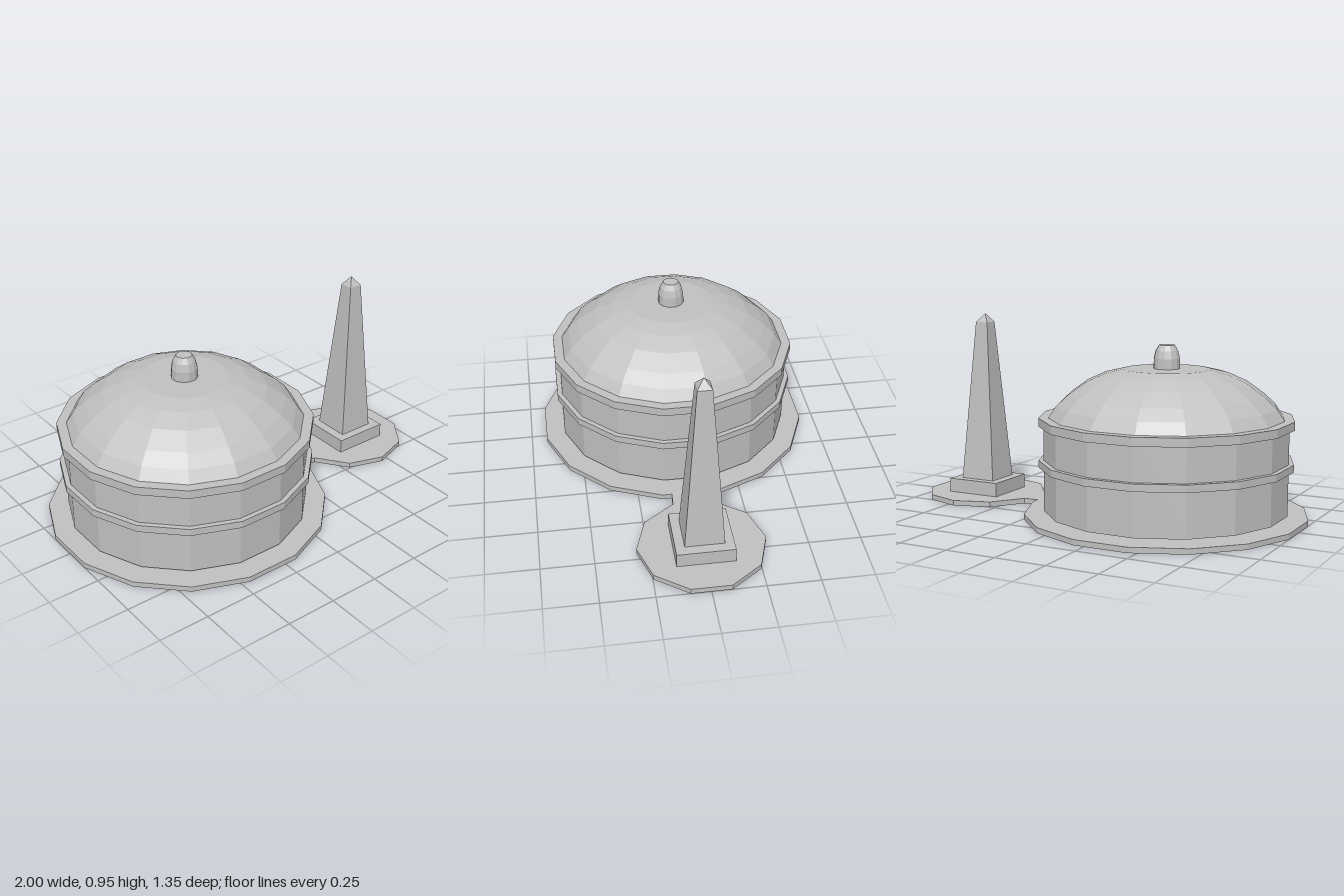
import * as THREE from 'three';

const SIDES = 16;
const HALL_X = -0.327;
const TOWER_X = 0.708;

export function createModel() {
  const model = new THREE.Group();
  const stone = new THREE.MeshStandardMaterial({ color: 0xc0c0c0 });
  stone.flatShading = true;

  function add(parent, name, geometry, y = 0) {
    const mesh = new THREE.Mesh(geometry, stone);
    mesh.name = name;
    mesh.position.y = y;
    parent.add(mesh);
    return mesh;
  }

  // Surface of revolution from [radius, y] pairs, with flats facing the axes
  function turned(points, sides) {
    const profile = points.map(([r, y]) => new THREE.Vector2(r, y));
    return new THREE.LatheGeometry(profile, sides, Math.PI / sides);
  }

  // Solid prism between two heights
  const prism = (r, y0, y1) => turned([[0, y0], [r, y0], [r, y1], [0, y1]], SIDES);

  // Ground slab: large polygon and small polygon joined by a walkway
  const slab = new THREE.Shape();
  const outline = [];
  const neck = 0.09;
  outline.push([0.345, neck]);
  for (let i = 0; i < SIDES; i++) {
    const a = (i + 0.5) * 2 * Math.PI / SIDES;
    const p = [HALL_X + 0.686 * Math.cos(a), 0.686 * Math.sin(a)];
    outline.push(p);
  }
  outline.push([0.345, -neck]);
  for (let i = 0; i < 10; i++) {
    const a = Math.PI + (i + 0.5) * 2 * Math.PI / 10;
    outline.push([0.71 + 0.305 * Math.cos(a), 0.305 * Math.sin(a)]);
  }
  slab.setFromPoints(outline.map(([x, y]) => new THREE.Vector2(x, y)));
  const slabGeometry = new THREE.ExtrudeGeometry(slab, { depth: 0.026, bevelEnabled: false });
  slabGeometry.rotateX(-Math.PI / 2);
  add(model, 'groundSlab', slabGeometry);

  // Domed hall
  const hall = new THREE.Group();
  hall.name = 'domedHall';
  hall.position.x = HALL_X;
  model.add(hall);
  add(hall, 'drum', prism(0.589, 0.04, 0.47));
  add(hall, 'lowerBand', prism(0.613, 0.252, 0.287));
  add(hall, 'upperBand', prism(0.613, 0.45, 0.491));
  add(hall, 'dome', turned([
    [0.568, 0.488], [0.53, 0.545], [0.475, 0.597], [0.39, 0.658],
    [0.3, 0.699], [0.21, 0.72], [0, 0.722]
  ], SIDES));
  add(hall, 'finial', turned([
    [0.064, 0.715], [0.063, 0.77], [0.054, 0.807], [0.038, 0.834], [0, 0.834]
  ], 12));

  // Obelisk on its plinth
  const obelisk = new THREE.Group();
  obelisk.name = 'obelisk';
  obelisk.position.x = TOWER_X;
  model.add(obelisk);
  add(obelisk, 'plinth', new THREE.BoxGeometry(0.284, 0.07, 0.274), 0.061);
  const k = Math.SQRT2;
  add(obelisk, 'shaft', turned([
    [0.094 * k, 0.09], [0.034 * k, 0.908], [0, 0.952]
  ], 4));

  return model;
}
